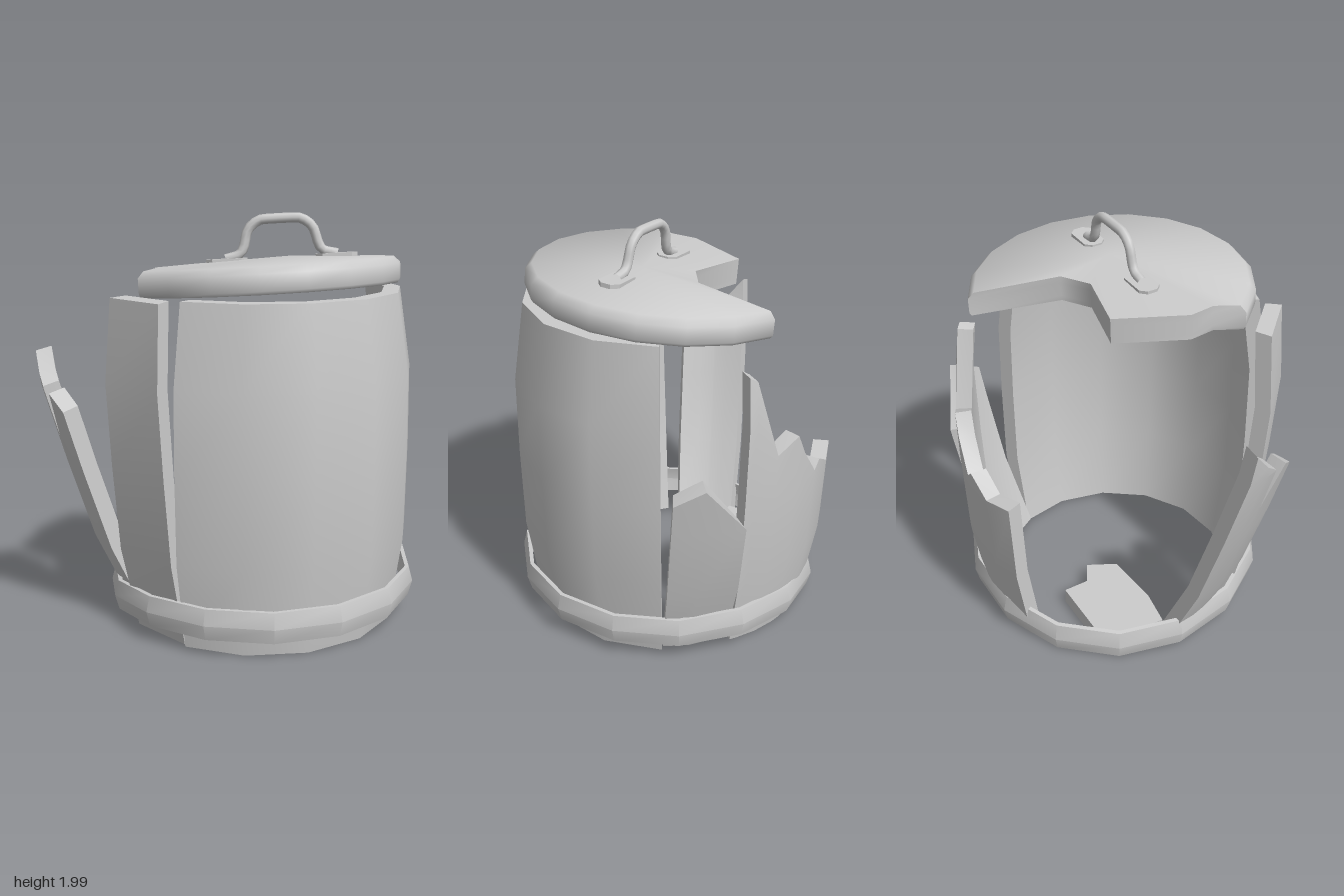
import * as THREE from 'three';
import { toCreasedNormals } from 'three/addons/utils/BufferGeometryUtils.js';

const mat = new THREE.MeshStandardMaterial({ color: 0xcccccc });
const CX = 0.05, CZ = 0.04, WALL = 0.08;
const LEVELS = [[0.01, 0.69], [0.43, 0.75], [0.85, 0.755], [1.25, 0.75], [1.64, 0.69]];
const rad = THREE.MathUtils.degToRad;

function add(parent, name, geometry, crease = 0.6) {
  const mesh = new THREE.Mesh(toCreasedNormals(geometry, crease), mat);
  mesh.name = name;
  parent.add(mesh);
}

// Skin a list of equal-length sections; each section is an array of Vector3
function loft(sections, { closeLoop = false, closeRow = false, caps = false } = {}) {
  const n = sections.length, m = sections[0].length, pos = [], index = [];
  sections.forEach(s => s.forEach(p => pos.push(p.x, p.y, p.z)));
  const quad = (a, b, c, d) => index.push(a, b, c, a, c, d);
  for (let i = 0; i < (closeRow ? n : n - 1); i++) {
    for (let k = 0; k < (closeLoop ? m : m - 1); k++) {
      const i2 = (i + 1) % n, k2 = (k + 1) % m;
      quad(i * m + k, i2 * m + k, i2 * m + k2, i * m + k2);
    }
  }
  if (caps) {
    const e = (n - 1) * m;
    for (let j = 0; j < m / 2 - 1; j++) {
      const inner = m - 1 - j;
      quad(inner, j, j + 1, inner - 1);
      quad(e + j, e + inner, e + inner - 1, e + j + 1);
    }
  }
  const g = new THREE.BufferGeometry();
  g.setAttribute('position', new THREE.Float32BufferAttribute(pos, 3));
  g.setIndex(index);
  return g;
}

// Outer radius of the bulged barrel at a height
function radiusAt(y) {
  for (let i = 1; i < LEVELS.length; i++) {
    const [y0, r0] = LEVELS[i - 1], [y1, r1] = LEVELS[i];
    if (y <= y1) return r0 + (r1 - r0) * (y - y0) / (y1 - y0);
  }
  return LEVELS[LEVELS.length - 1][1];
}

// Piece of barrel wall; tops holds [fraction across, top height]
function wallPiece({ mid, width, tops, lean = 0, out = 0, side = 0 }) {
  const sections = tops.map(([f, top]) => {
    const a = rad(width) * (f - 0.5);
    const at = (y, inset) => {
      const r = radiusAt(y) - inset;
      return new THREE.Vector3(r * Math.sin(a), y, r * Math.cos(a));
    };
    const ys = LEVELS.map(l => Math.min(l[0], top));
    return [...ys.map(y => at(y, 0)), ...ys.reverse().map(y => at(y, WALL))];
  });
  return loft(sections, { closeLoop: true, caps: true })
    .translate(0, 0, -0.69).rotateX(lean).translate(side, 0, 0.69 + out)
    .rotateY(rad(mid)).translate(CX, 0, CZ);
}

// Arched handle on two chamfered foot plates
function buildHandle() {
  const handle = new THREE.Group();
  handle.name = 'handle';
  const half = [[0.27, 0.085], [0.2, 0.105], [0.18, 0.14], [0.155, 0.22], [0.1, 0.262], [0.04, 0.266]];
  const path = [...half.map(([s, y]) => [-s, y]), ...half.slice().reverse()]
    .map(([s, y]) => new THREE.Vector3(s, y, 0));
  const curve = new THREE.CatmullRomCurve3(path, false, 'centripetal');
  add(handle, 'handleBar', new THREE.TubeGeometry(curve, 24, 0.024, 8), 1.2);
  const w = 0.1, d = 0.055, c = 0.03;
  const plate = new THREE.Shape([[w, d - c], [w - c, d], [c - w, d], [-w, d - c], [-w, c - d], [c - w, -d], [w - c, -d], [w, c - d]]
    .map(p => new THREE.Vector2(...p)));
  for (const s of [-1, 1]) {
    add(handle, 'handlePlate', new THREE.ExtrudeGeometry(plate, { depth: 0.025, bevelEnabled: false })
      .rotateX(-Math.PI / 2).translate(s * 0.265, 0.062, 0));
  }
  handle.position.set(0.125, 0, 0.005);
  handle.rotation.y = Math.atan2(0.29, 0.45);
  return handle;
}

function buildLid() {
  const lid = new THREE.Group();
  lid.name = 'lid';
  const R = 0.685;
  // outline: round rim, then the broken edge
  const outline = [];
  for (let i = 0; i <= 12; i++) {
    const a = rad(-23.4 + i * 217.8 / 12);
    outline.push([R * Math.sin(a), R * Math.cos(a)]);
  }
  outline.push([-0.02, -0.24], [-0.09, -0.09], [-0.4, 0.02], [-0.36, 0.38], [-0.28, 0.48]);
  // rings from underside to top: radius limit, height on the rim, height on the break
  const rings = [[0.675, -0.065, -0.065], [R, -0.05, -0.04], [R, 0.025, 0.03], [0.655, 0.056, 0.065]];
  const hub = [0.16, -0.02];
  const sections = outline.map(([x, z]) => {
    const r = Math.hypot(x, z);
    const ring = rings.map(([limit, rimY, breakY]) => {
      const k = Math.min(1, limit / r);
      return new THREE.Vector3(x * k, r > R - 0.02 ? rimY : breakY, z * k);
    });
    return [new THREE.Vector3(hub[0], -0.065, hub[1]), ...ring, new THREE.Vector3(hub[0], 0.085, hub[1])];
  });
  add(lid, 'lidDisc', loft(sections, { closeRow: true }), 1.05);
  lid.add(buildHandle());
  lid.position.set(0.04, 1.698, 0.02);
  lid.rotation.set(-0.025, 0, 0.08);
  return lid;
}

// Bottom band, sagging towards -x
function buildHoop() {
  const profile = [[0.745, 0.1], [0.765, 0.1], [0.785, 0.175], [0.765, 0.25], [0.745, 0.25], [0.762, 0.175], [0.745, 0.1]];
  const sections = [];
  for (let i = 0; i < 15; i++) {
    const a = rad(12 + i * 24);
    sections.push(profile.map(([r, y]) => {
      const x = r * Math.sin(a);
      const sag = 0.095 * Math.max(0, (0.06 - x) / 0.84) ** 2;
      return new THREE.Vector3(CX + x, y - sag, 0.03 + r * Math.cos(a));
    }));
  }
  return loft(sections, { closeRow: true });
}

export function createModel() {
  const model = new THREE.Group();
  model.name = 'brokenBarrel';

  // large intact wall
  const even = Array.from({ length: 7 }, (_, i) => [i / 6, 1.64]);
  add(model, 'barrelWall', wallPiece({ mid: 75.4, width: 149, tops: even }));

  // loose front stave
  add(model, 'frontStave', wallPiece({
    mid: -12, width: 28, tops: [[0, 1.645], [1, 1.645]], lean: 0.075, out: -0.01, side: -0.03,
  }));

  // leaning split stave on the right front
  add(model, 'splitStave', wallPiece({
    mid: -36, width: 29, lean: 0.29, out: -0.05, side: -0.15,
    tops: [[0, 1.4], [0.25, 1.31], [0.45, 1.26], [0.48, 1.0], [0.7, 1.24], [1, 1.16]],
  }));

  // leaning back stave
  add(model, 'backStave', wallPiece({
    mid: 166, width: 27, tops: [[0, 1.02], [0.4, 1.1], [1, 0.82]], lean: 0.21, out: -0.03, side: -0.02,
  }));

  // jagged back wall
  add(model, 'jaggedWall', wallPiece({
    mid: 205, width: 62, lean: 0.04, out: 0.03, side: 0.05,
    tops: [[0, 1.48], [0.05, 1.46], [0.2, 1.07], [0.36, 1.13], [0.43, 1.02], [0.57, 0.87], [0.63, 0.91], [0.8, 0.83], [1, 0.85]],
  }));

  // broken stave end lying on the ground
  const shard = new THREE.Shape([[-0.7, 0.04], [-0.52, 0.32], [-0.34, 0.24], [-0.1, 0.06], [-0.12, -0.1], [-0.25, -0.09], [-0.33, -0.2]]
    .map(([x, z]) => new THREE.Vector2(x, -z)));
  add(model, 'fallenShard', new THREE.ExtrudeGeometry(shard, { depth: 0.08, bevelEnabled: false })
    .rotateX(-Math.PI / 2).translate(0, 0.01, 0));

  add(model, 'hoop', buildHoop());
  model.add(buildLid());
  return model;
}
